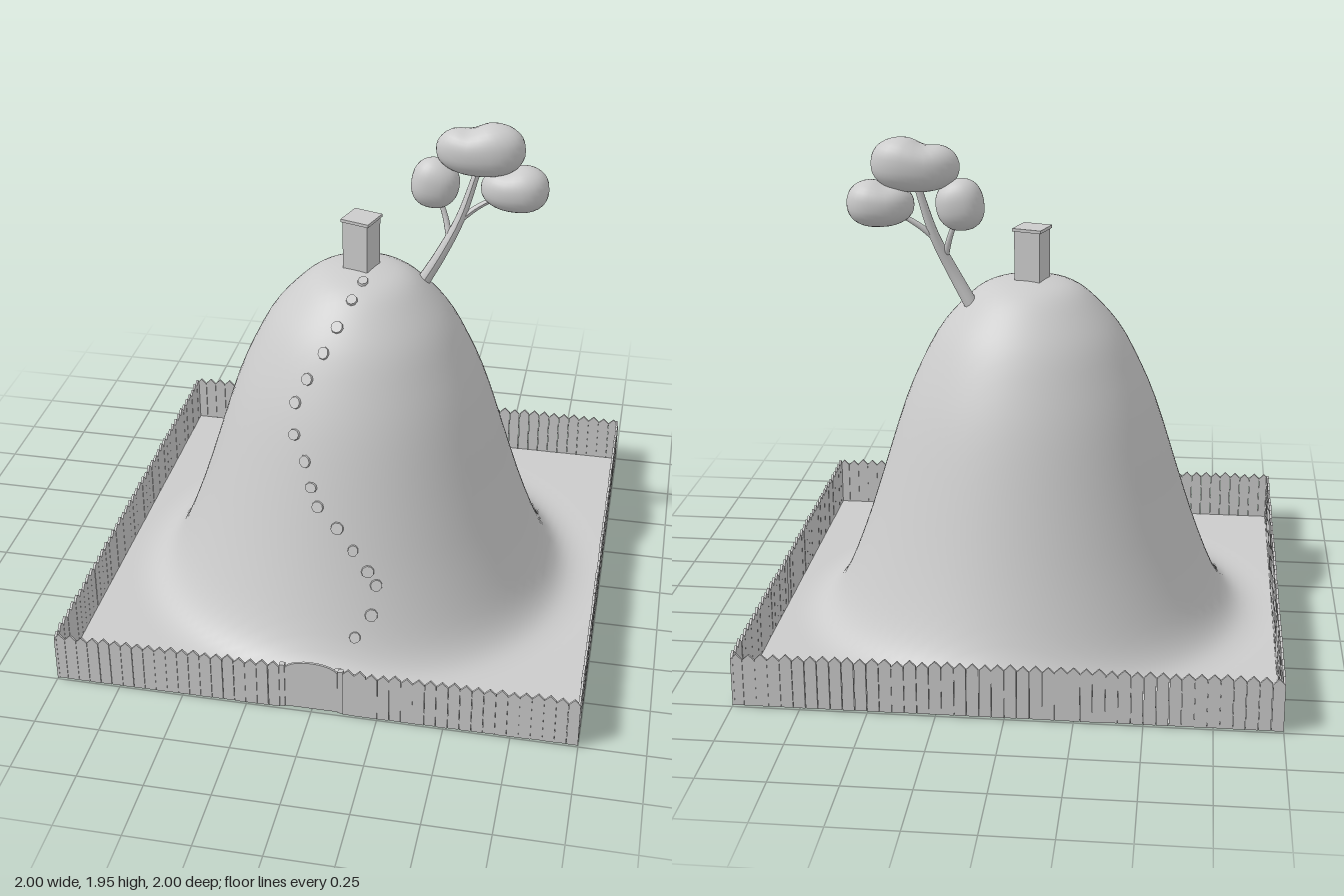
import * as THREE from 'three';

const material = new THREE.MeshStandardMaterial({ color: 0xcccccc });
const sheet = new THREE.MeshStandardMaterial({ color: 0xcccccc, side: THREE.DoubleSide });

let seed = 7;
const random = () => (seed = (seed * 16807) % 2147483647) / 2147483647;

// Hill height by distance from the centre
const profile = new THREE.SplineCurve([
  [-0.1, 1.37], [0, 1.38], [0.1, 1.372], [0.18, 1.35], [0.25, 1.298], [0.35, 1.185], [0.42, 1.06],
  [0.5, 0.875], [0.6, 0.56], [0.66, 0.375], [0.73, 0.19], [0.78, 0.09], [0.84, 0.028], [0.92, 0.003],
  [1.05, 0.002], [1.5, 0.002],
].map(([r, y]) => new THREE.Vector2(r, y))).getPoints(240);

function hillHeight(x, z) {
  const r = Math.hypot(x, z);
  const i = profile.findIndex((p) => p.x > r);
  const a = profile[i - 1], b = profile[i];
  return a.y + (b.y - a.y) * (r - a.x) / (b.x - a.x);
}

function hillNormal(x, z) {
  const e = 0.02;
  return new THREE.Vector3(
    hillHeight(x - e, z) - hillHeight(x + e, z), 2 * e,
    hillHeight(x, z - e) - hillHeight(x, z + e)).normalize();
}

function add(parent, name, geometry, x = 0, y = 0, z = 0, mat = material) {
  const mesh = new THREE.Mesh(geometry, mat);
  mesh.name = name;
  mesh.position.set(x, y, z);
  parent.add(mesh);
  return mesh;
}

// Square ground sheet raised into a hollow hill
function buildGround(parent) {
  const g = new THREE.PlaneGeometry(1.98, 1.98, 64, 64).rotateX(-Math.PI / 2);
  const p = g.attributes.position;
  for (let i = 0; i < p.count; i++) p.setY(i, hillHeight(p.getX(i), p.getZ(i)));
  g.computeVertexNormals();
  add(parent, 'hill', g, 0, 0, 0, sheet);
}

// Winding path of flat stones lying on the slope
function buildPath(parent) {
  const path = new THREE.Group();
  path.name = 'path';
  parent.add(path);
  const spots = [
    [0.025, 0.12], [0, 0.21], [-0.04, 0.29], [-0.08, 0.35], [-0.135, 0.39], [-0.175, 0.42],
    [-0.17, 0.47], [-0.12, 0.515], [-0.09, 0.55], [-0.06, 0.575], [0.02, 0.6], [0.085, 0.62],
    [0.145, 0.635], [0.18, 0.645], [0.17, 0.69], [0.115, 0.735], [0.065, 0.82], [0.025, 0.89],
  ];
  for (const [x, z] of spots) {
    const stone = add(path, 'steppingStone', new THREE.CylinderGeometry(0.021, 0.024, 0.018, 9), x, hillHeight(x, z), z);
    stone.quaternion.setFromUnitVectors(new THREE.Vector3(0, 1, 0), hillNormal(x, z));
    stone.scale.set(0.9 + 0.25 * random(), 1, 0.95 + 0.25 * random());
  }
}

// Small square hut with a flat overhanging roof
function buildHut(parent) {
  const hut = new THREE.Group();
  hut.name = 'hut';
  hut.position.set(-0.005, 0, -0.005);
  hut.rotation.y = -0.3;
  parent.add(hut);
  add(hut, 'hutWalls', new THREE.BoxGeometry(0.106, 0.22, 0.106), 0, 1.465, 0);
  add(hut, 'hutRoof', new THREE.BoxGeometry(0.118, 0.012, 0.118), 0, 1.576, 0);
}

// Tapered limb along a curve
function limb(parent, name, points, r0, r1) {
  const curve = new THREE.CatmullRomCurve3(points.map((p) => new THREE.Vector3(...p)));
  const rows = 12, sides = 10;
  const g = new THREE.TubeGeometry(curve, rows, 1, sides);
  const p = g.attributes.position, v = new THREE.Vector3();
  for (let i = 0; i < p.count; i++) {
    const t = Math.floor(i / (sides + 1)) / rows;
    const c = curve.getPointAt(t);
    v.fromBufferAttribute(p, i).sub(c).multiplyScalar(r0 + (r1 - r0) * t).add(c);
    p.setXYZ(i, v.x, v.y, v.z);
  }
  g.computeVertexNormals();
  add(parent, name, g, 0, 0, 0, sheet);
}

// Leaf clump: a sphere bent by a dent in its top and a taper along its length
function clump(parent, size, position, { dent = 0, dentAt = 0, taper = 0, tilt = 0 }) {
  const g = new THREE.SphereGeometry(1, 28, 18);
  const p = g.attributes.position;
  for (let i = 0; i < p.count; i++) {
    // A squarer outline than a plain ball
    const x = Math.sign(p.getX(i)) * Math.abs(p.getX(i)) ** 0.88;
    const k = 1 + taper * x;
    let y = Math.sign(p.getY(i)) * Math.abs(p.getY(i)) ** 0.88 * k;
    if (y > 0) y *= 1 - dent * Math.exp(-(((x - dentAt) / 0.3) ** 2));
    p.setXYZ(i, x * size[0], y * size[1], p.getZ(i) * k * size[2]);
  }
  g.computeVertexNormals();
  add(parent, 'leafClump', g, ...position).rotation.z = tilt;
}

function buildTree(parent) {
  const tree = new THREE.Group();
  tree.name = 'tree';
  parent.add(tree);
  limb(tree, 'trunk', [[0.225, 1.29, -0.09], [0.29, 1.41, -0.09], [0.36, 1.56, -0.11], [0.42, 1.76, -0.13]], 0.027, 0.014);
  limb(tree, 'leftBranch', [[0.36, 1.555, -0.11], [0.42, 1.605, -0.12], [0.5, 1.655, -0.13]], 0.013, 0.009);
  limb(tree, 'rightBranch', [[0.32, 1.485, -0.1], [0.3, 1.56, -0.12], [0.27, 1.64, -0.13]], 0.013, 0.009);
  add(tree, 'trunkFoot', new THREE.SphereGeometry(0.026, 12, 8), 0.226, 1.295, -0.09);
  clump(tree, [0.17, 0.104, 0.09], [0.427, 1.84, -0.13], { dent: 0.22, dentAt: -0.22, taper: 0.08, tilt: 0.06 });
  clump(tree, [0.13, 0.09, 0.092], [0.562, 1.69, -0.135], { dent: 0.12, dentAt: -0.2, taper: 0.1, tilt: 0.03 });
  clump(tree, [0.093, 0.1, 0.072], [0.258, 1.69, -0.13], { dent: 0.05, dentAt: 0.5, taper: -0.05, tilt: -0.15 });
}

const thickness = 0.009;

// Upright board cut from an outline
const board = (shape) => new THREE.ExtrudeGeometry(shape, { depth: thickness, bevelEnabled: false, curveSegments: 10 });

// Row of pointed pickets standing on the z = 1 edge
function pickets(side, from, to) {
  const n = Math.round((to - from) / 0.045), w = (to - from) / n;
  for (let i = 0; i < n; i++) {
    const h = 0.182 + 0.008 * random();
    const half = w * (0.47 + 0.03 * random());
    const shape = new THREE.Shape([[-half, 0], [half, 0], [half, h], [0, h + 0.022], [-half, h]]
      .map((q) => new THREE.Vector2(...q)));
    add(side, 'picket', board(shape), from + (i + 0.5) * w, 0, 1 - thickness - 0.002 * random());
  }
}

// Arched gate between two square posts
function buildGate(side) {
  const shape = new THREE.Shape();
  shape.moveTo(-0.1, 0.004);
  shape.lineTo(0.1, 0.004);
  shape.lineTo(0.1, 0.185);
  shape.bezierCurveTo(0.07, 0.228, -0.07, 0.228, -0.1, 0.185);
  add(side, 'gate', board(shape), 0, 0, 0.984);
  for (const s of [-1, 1]) add(side, 'gatePost', new THREE.BoxGeometry(0.02, 0.195, 0.02), s * 0.111, 0.0975, 0.984);
}

function buildFence(parent) {
  for (let k = 0; k < 4; k++) {
    const side = new THREE.Group();
    side.name = ['frontFence', 'leftFence', 'backFence', 'rightFence'][k];
    side.rotation.y = k * Math.PI / 2;
    parent.add(side);
    if (k === 0) {
      pickets(side, -1, -0.12);
      pickets(side, 0.12, 1);
      buildGate(side);
    } else pickets(side, -1, 1);
  }
}

export function createModel() {
  const model = new THREE.Group();
  model.name = 'fencedHill';
  buildGround(model);
  buildPath(model);
  buildHut(model);
  buildTree(model);
  buildFence(model);
  return model;
}
